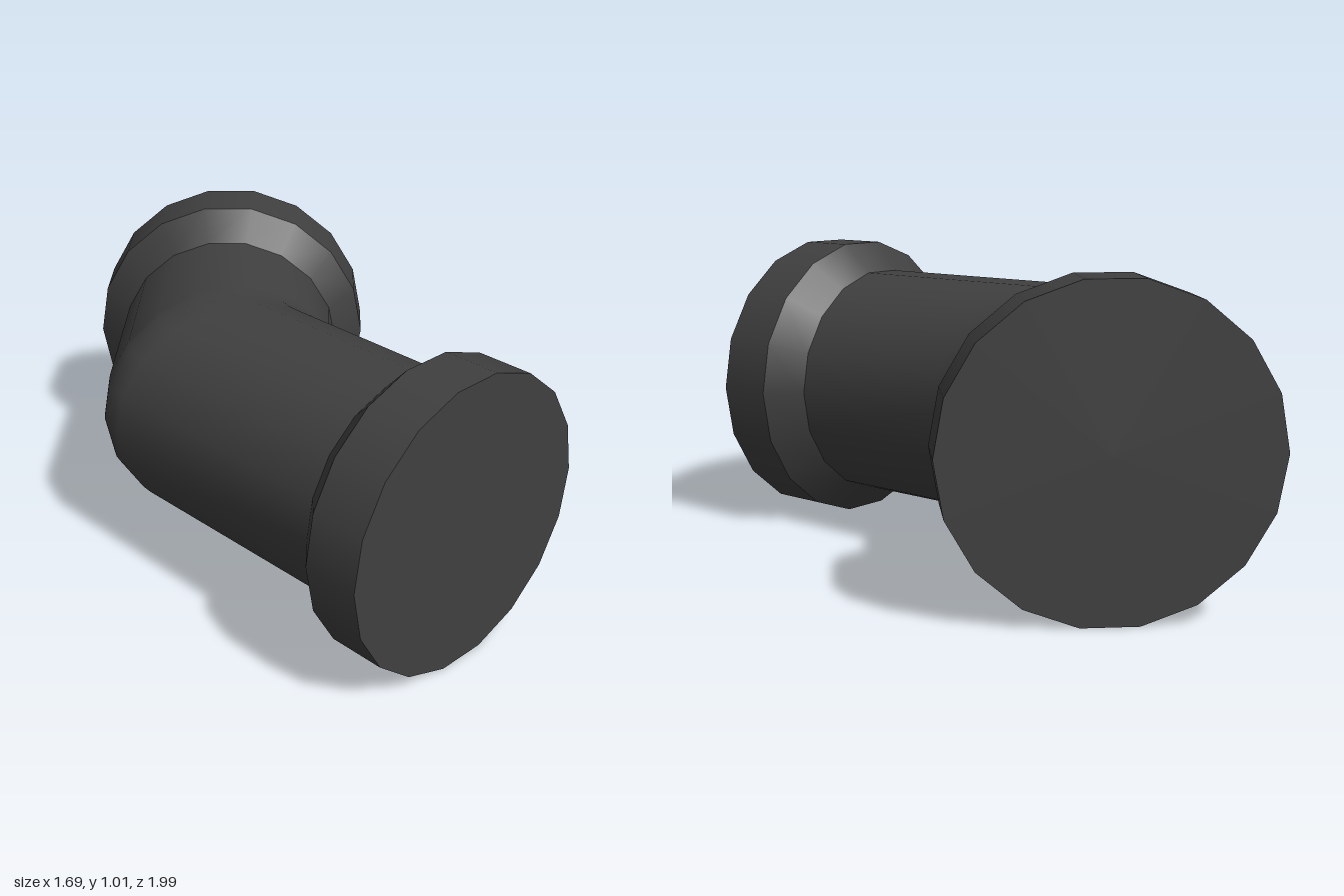
import * as THREE from 'three';

const SIDES = 18;
const PIPE_R = 0.41, SOCKET_R = 0.5125;
const RIM = 0.2, TAPER = 0.1;
const AXIS_Y = 0.508;
const material = new THREE.MeshStandardMaterial({ color: 0x404040 });

// Plan-view axis: back end, 45 degree corner, front end
const backEnd = new THREE.Vector3(-0.3375, AXIS_Y, -1);
const corner = new THREE.Vector3(-0.3375, AXIS_Y, -0.188);
const frontEnd = new THREE.Vector3(0.4825, AXIS_Y, 0.632);
const dirIn = new THREE.Vector3(0, 0, 1);
const dirOut = new THREE.Vector3(Math.SQRT1_2, 0, Math.SQRT1_2);

// Mitred elbow: each lengthwise line runs straight, rounds the mitre, runs straight
function elbowGeometry() {
  const bendSteps = 4, bevel = 0.09, overlap = RIM + TAPER;
  const columns = [];
  for (let j = 0; j < SIDES; j++) {
    const a = (j / SIDES) * Math.PI * 2;
    const u = PIPE_R * Math.cos(a), v = PIPE_R * Math.sin(a);
    const start = backEnd.clone().addScaledVector(dirIn, overlap).add(new THREE.Vector3(u, v, 0));
    const mitre = corner.clone().add(new THREE.Vector3(u, v, -u * Math.tan(Math.PI / 8)));
    const end = frontEnd.clone().addScaledVector(dirOut, -overlap)
      .add(new THREE.Vector3(u * Math.SQRT1_2, v, -u * Math.SQRT1_2));
    const bend = new THREE.QuadraticBezierCurve3(
      mitre.clone().addScaledVector(dirIn, -bevel), mitre,
      mitre.clone().addScaledVector(dirOut, bevel));
    columns.push([start, ...bend.getPoints(bendSteps), end]);
  }
  const rows = columns[0].length, points = [], index = [];
  for (let i = 0; i < rows; i++) {
    for (let j = 0; j < SIDES; j++) {
      points.push(columns[j][i]);
      if (i === rows - 1) continue;
      const k = (j + 1) % SIDES;
      const a = i * SIDES + j, b = i * SIDES + k;
      index.push(a, b, a + SIDES, b, b + SIDES, a + SIDES);
    }
  }
  const geometry = new THREE.BufferGeometry().setFromPoints(points);
  geometry.setIndex(index);
  geometry.computeVertexNormals();
  return geometry;
}

// Socket pointing along +z, with its closed end at the origin
function socket(name, position, turn) {
  const group = new THREE.Group();
  group.name = name;
  const add = (part, rFront, rBack, length, z, open) => {
    const g = new THREE.CylinderGeometry(rFront, rBack, length, SIDES, 1, open, Math.PI / 2);
    g.rotateX(Math.PI / 2);
    const mesh = new THREE.Mesh(g, material);
    mesh.name = part;
    mesh.position.z = z;
    group.add(mesh);
  };
  add('socketRim', SOCKET_R, SOCKET_R, RIM, -RIM / 2, false);
  add('socketTaper', SOCKET_R, PIPE_R, TAPER, -RIM - TAPER / 2, true);
  group.position.copy(position);
  group.rotation.y = turn;
  return group;
}

export function createModel() {
  const model = new THREE.Group();
  model.name = 'pipeElbow';
  const pipe = new THREE.Mesh(elbowGeometry(), material);
  pipe.name = 'bentPipe';
  model.add(pipe);
  model.add(socket('backSocket', backEnd, Math.PI));
  model.add(socket('frontSocket', frontEnd, Math.PI / 4));
  return model;
}
